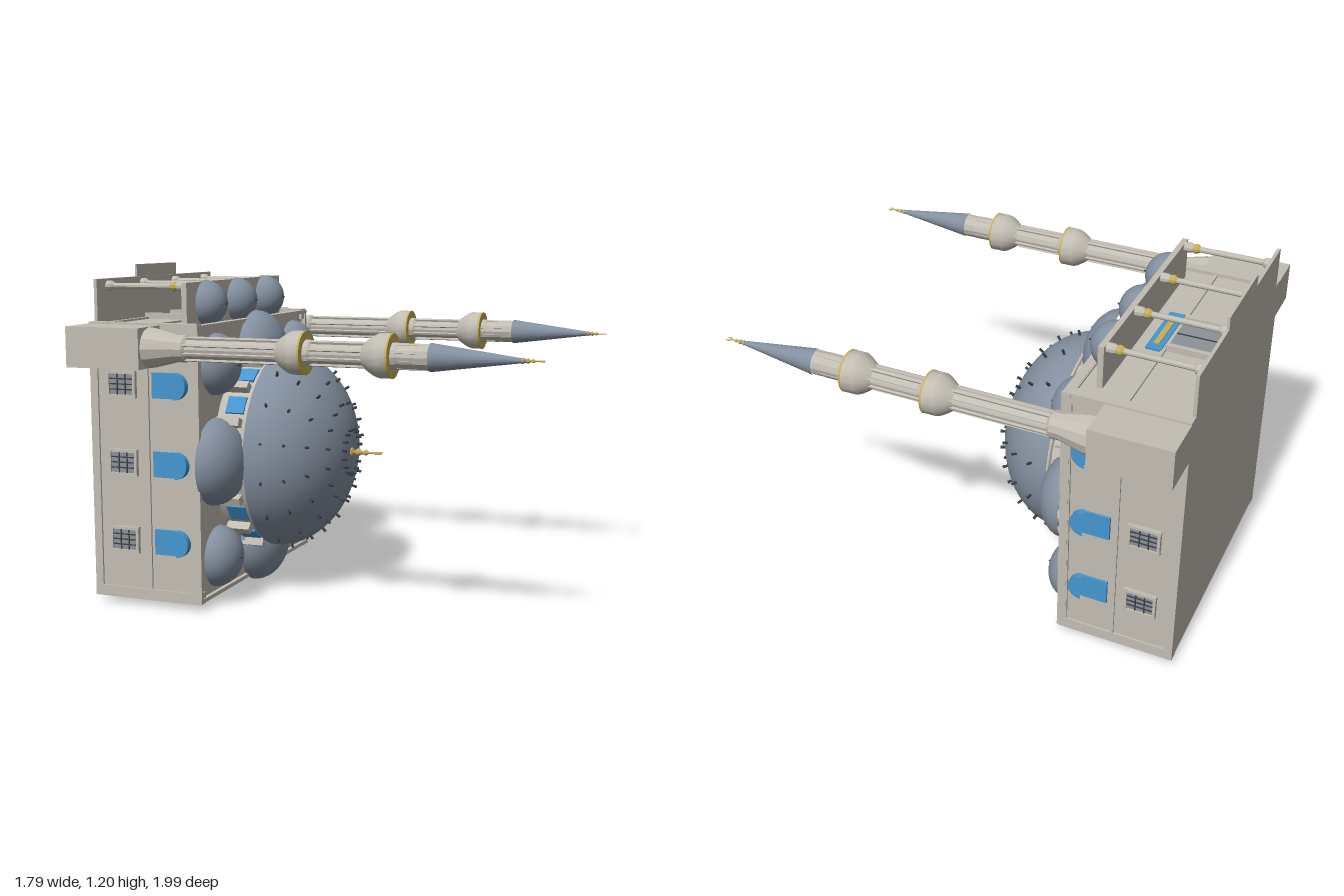
import * as THREE from 'three';
import { toCreasedNormals } from 'three/addons/utils/BufferGeometryUtils.js';

const mat = (name, color) => Object.assign(new THREE.MeshStandardMaterial({ color }), { name });
const stone = mat('stone', 0xc2bdb3);
const lead = mat('domeLead', 0x8490a0);
const gold = mat('gold', 0xc6ae58);
const blue = mat('blueGlass', 0x4596d0);
const dark = mat('darkMetal', 0x3a414a);
const grey = mat('greyShutter', 0x8d9296);

const CX = 0.013, CY = 0.515, HALF = 0.48, BACK = -0.8, ROOF = -0.38;

function add(parent, name, geo, material, x = 0, y = 0, z = 0) {
  const m = new THREE.Mesh(geo, material);
  m.name = name;
  m.position.set(x, y, z);
  parent.add(m);
  return m;
}
const box = (parent, name, material, w, h, d, x, y, z) =>
  add(parent, name, new THREE.BoxGeometry(w, h, d), material, x, y, z);

// turned part whose axis is the building's upright, z
function turned(parent, name, material, profile, segs, x, y, z = 0) {
  const geo = new THREE.LatheGeometry(profile.map(p => new THREE.Vector2(...p)), segs);
  geo.rotateX(Math.PI / 2);
  return add(parent, name, toCreasedNormals(geo, 0.4), material, x, y, z);
}

function dome(parent, name, r, h, x, y, z) {
  const geo = new THREE.SphereGeometry(1, 36, 12, 0, Math.PI * 2, 0, Math.PI / 2);
  geo.rotateX(Math.PI / 2).scale(r, r, h);
  add(parent, name, geo, lead, x, y, z);
  turned(parent, name + 'Tip', dark, [[0.004, 0], [0.004, 0.01], [0, 0.014]], 6, x, y, z + h - 0.003);
}

// wall frame: local x runs along the wall, y is up the building, z points outward
function wall(parent, name, along, outward, x, y) {
  const g = new THREE.Group();
  g.name = name;
  g.applyMatrix4(new THREE.Matrix4().makeBasis(along, new THREE.Vector3(0, 0, 1), outward));
  g.position.set(x, y, 0);
  parent.add(g);
  return g;
}

function rectWindow(parent, u, v, w, h, glass) {
  box(parent, 'windowPane', glass, w, h, 0.008, u, v, 0.004);
  for (const s of [-1, 1]) {
    box(parent, 'windowJamb', stone, 0.01, h + 0.02, 0.018, u + s * (w / 2 + 0.004), v, 0.006);
    box(parent, 'windowSill', stone, w + 0.02, 0.01, 0.018, u, v + s * (h / 2 + 0.004), 0.006);
  }
  for (const k of [-1, 0, 1]) box(parent, 'windowBar', dark, 0.004, h, 0.004, u + k * w / 4, v, 0.009);
  for (const k of [-1, 1]) box(parent, 'windowBar', dark, w, 0.004, 0.004, u, v + k * h / 6, 0.009);
}

function archWindow(parent, u, v, w, h, depth) {
  const s = new THREE.Shape(), r = w / 2;
  s.moveTo(-r, -h / 2);
  s.lineTo(r, -h / 2);
  s.lineTo(r, h / 2 - r);
  s.absarc(0, h / 2 - r, r, 0, Math.PI, false);
  const geo = new THREE.ExtrudeGeometry(s, { depth, bevelEnabled: false, curveSegments: 12 });
  add(parent, 'archWindow', geo, blue, u, v, 0);
}

// crescent finial on a string of beads
function finial(parent, x, y, z, len) {
  const k = len;
  turned(parent, 'finial', gold, [[0.13 * k, 0], [0.13 * k, 0.06 * k], [0.04 * k, 0.12 * k], [0.12 * k, 0.24 * k],
    [0.04 * k, 0.36 * k], [0.09 * k, 0.46 * k], [0.03 * k, 0.56 * k], [0.03 * k, 0.74 * k], [0, 0.78 * k]], 10, x, y, z);
  const arc = new THREE.TorusGeometry(0.12 * k, 0.03 * k, 6, 14, Math.PI * 1.5);
  arc.rotateZ(Math.PI * 0.75).rotateX(Math.PI / 2);
  add(parent, 'crescent', arc, gold, x, y, z + 0.86 * k);
}

function minaret(parent, side) {
  const g = new THREE.Group();
  g.name = side > 0 ? 'leftMinaret' : 'rightMinaret';
  g.position.set(CX + side * 0.56, 0.932, 0);
  parent.add(g);
  box(g, 'minaretBase', stone, 0.155, 0.14, 0.28, 0, 0, -0.66);
  turned(g, 'shaft', stone, [[0.07, -0.53], [0.068, -0.5], [0.046, -0.41], [0.046, -0.38], [0.036, -0.37],
    [0.036, 0.36], [0.042, 0.37], [0.042, 0.48], [0, 0.48]], 12, 0, 0);
  // slim ribs up the shaft
  for (let i = 0; i < 8; i++) {
    const a = (i + 0.5) * Math.PI / 4;
    const rib = box(g, 'shaftRib', stone, 0.008, 0.012, 0.83, 0.037 * Math.cos(a), 0.037 * Math.sin(a), 0.02);
    rib.rotation.z = a + Math.PI / 2;
  }
  for (const z of [0.015, 0.312]) {
    turned(g, 'balcony', stone, [[0.037, -0.06], [0.05, -0.045], [0.066, -0.02], [0.072, -0.005], [0.072, 0.035]], 16, 0, 0, z);
    turned(g, 'balconyFloor', gold, [[0.072, 0.033], [0.073, 0.04], [0.045, 0.04], [0.043, 0.033]], 16, 0, 0, z);
    turned(g, 'balconyCollar', stone, [[0.044, 0.035], [0.044, 0.055], [0.036, 0.065]], 12, 0, 0, z);
  }
  turned(g, 'spire', lead, [[0.046, 0.475], [0.044, 0.49], [0.005, 0.785]], 16, 0, 0);
  finial(g, 0, 0, 0.765, 0.075);
}

export function createModel() {
  const model = new THREE.Group();
  model.name = 'mosque';
  const g = new THREE.Group();
  g.name = 'building';
  g.rotation.y = THREE.MathUtils.degToRad(25);
  model.add(g);

  // main hall with corner piers, string courses and roof parapet
  const depth = ROOF - BACK, midZ = (ROOF + BACK) / 2;
  box(g, 'hall', stone, HALF * 2, 0.96, depth - 0.01, CX, CY, midZ - 0.005);
  for (const sx of [-1, 1]) for (const sy of [-1, 1])
    box(g, 'cornerPier', stone, 0.04, 0.04, depth, CX + sx * 0.468, CY + sy * 0.473, midZ);
  for (const [name, z, h] of [['baseCourse', -0.785, 0.03], ['stringCourse', -0.577, 0.014], ['cornice', -0.4, 0.02]])
    box(g, name, stone, 0.974, 0.974, h, CX, CY, z);
  for (const s of [-1, 1]) {
    box(g, 'parapet', stone, 0.98, 0.014, 0.03, CX, CY + s * 0.481, ROOF - 0.01);
    box(g, 'parapet', stone, 0.014, 0.98, 0.03, CX + s * 0.481, CY, ROOF - 0.01);
  }

  // side walls
  for (const s of [-1, 1]) {
    const w = wall(g, s > 0 ? 'leftWall' : 'rightWall', new THREE.Vector3(0, s, 0), new THREE.Vector3(s, 0, 0), CX + s * HALF, CY);
    for (const u of [-0.278, 0, 0.278]) {
      archWindow(w, u, -0.49, 0.09, 0.13, 0.009);
      const hood = new THREE.CylinderGeometry(0.047, 0.047, 0.025, 16, 1, false, -Math.PI / 2, Math.PI);
      hood.rotateX(-Math.PI / 2);
      add(w, 'windowHood', hood, blue, u, -0.465, 0.012);
      rectWindow(w, u, -0.675, 0.075, 0.095, grey);
    }
  }
  // wall opposite the porch
  const rear = wall(g, 'rearWall', new THREE.Vector3(1, 0, 0), new THREE.Vector3(0, -1, 0), CX, CY - 0.48);
  for (const u of [-0.28, 0, 0.28]) for (const v of [-0.49, -0.68]) rectWindow(rear, u, v, 0.12, 0.09, blue);

  // drum ringed with windows and buttresses
  turned(g, 'drum', stone, [[0.35, -0.39], [0.35, -0.28], [0.362, -0.275], [0.362, -0.265], [0, -0.265]], 32, CX, CY);
  for (let i = 0; i < 16; i++) {
    const spoke = new THREE.Group();
    spoke.name = 'drumBay';
    spoke.position.set(CX, CY, 0);
    spoke.rotation.z = i * Math.PI / 8;
    g.add(spoke);
    box(spoke, 'buttress', stone, 0.04, 0.03, 0.09, 0.36, 0, -0.335);
    const bay = new THREE.Group();
    bay.rotation.z = Math.PI / 16;
    bay.name = 'drumWindow';
    spoke.add(bay);
    box(bay, 'drumGlass', blue, 0.009, 0.065, 0.07, 0.351, 0, -0.325);
  }

  // great dome with rows of lamp studs
  const R = 0.365, H = 0.275, DZ = -0.27;
  dome(g, 'greatDome', R, H, CX, CY, DZ);
  const up = new THREE.Vector3(0, 1, 0);
  for (const deg of [13, 29, 45, 61, 77]) for (let i = 0; i < 16; i++) {
    const t = THREE.MathUtils.degToRad(deg), a = (i + 0.5) * Math.PI / 8;
    const dir = new THREE.Vector3(Math.sin(t) * Math.cos(a), Math.sin(t) * Math.sin(a), Math.cos(t));
    const stud = add(g, 'domeStud', new THREE.CylinderGeometry(0.005, 0.005, 0.035, 6), dark,
      CX + R * dir.x, CY + R * dir.y, DZ + H * dir.z);
    stud.quaternion.setFromUnitVectors(up, new THREE.Vector3(dir.x / R, dir.y / R, dir.z / H).normalize());
  }
  finial(g, CX, CY, DZ + H - 0.005, 0.13);

  // half domes on the sides, small domes on the corners
  for (const s of [-1, 1]) {
    dome(g, 'sideDome', 0.157, 0.115, CX + s * 0.358, CY, ROOF);
    dome(g, 'sideDome', 0.157, 0.115, CX, CY + s * 0.358, ROOF);
    for (const t of [-1, 1]) dome(g, 'cornerDome', 0.11, 0.09, CX + s * 0.345, CY + t * 0.345, ROOF);
  }

  // porch: floor, step, columns, roof and three small domes
  box(g, 'porchFloor', stone, 0.893, 0.17, 0.012, CX, 1.07, -0.794);
  box(g, 'porchStep', stone, 0.31, 0.06, 0.008, CX, 1.17, -0.796);
  box(g, 'porchRoof', stone, 0.806, 0.16, 0.02, CX, 1.065, -0.468);
  for (const k of [-1.5, -0.5, 0.5, 1.5]) {
    const x = CX + k * 0.248;
    turned(g, 'porchColumn', stone, [[0.018, -0.79], [0.018, -0.77], [0.01, -0.76], [0.01, -0.52], [0.018, -0.5], [0.018, -0.475]], 10, x, 1.13);
    turned(g, 'columnCapital', gold, [[0.011, -0.535], [0.017, -0.525], [0.017, -0.515], [0.011, -0.505]], 10, x, 1.13);
  }
  for (const k of [-1, 0, 1]) dome(g, 'porchDome', 0.082, 0.08, CX + k * 0.254, 1.068, -0.46);

  // doorway with a blue and gold panel above
  const porch = wall(g, 'porchWall', new THREE.Vector3(-1, 0, 0), new THREE.Vector3(0, 1, 0), CX, CY + 0.48);
  box(porch, 'doorPanel', blue, 0.25, 0.055, 0.009, 0, -0.545, 0.006);
  box(porch, 'doorPanelInlay', gold, 0.19, 0.02, 0.006, 0, -0.545, 0.011);
  box(porch, 'door', grey, 0.18, 0.2, 0.008, 0, -0.685, 0.004);
  for (const s of [-1, 1]) box(porch, 'doorJamb', stone, 0.018, 0.21, 0.025, s * 0.1, -0.685, 0.01);
  box(porch, 'doorSeam', dark, 0.004, 0.2, 0.004, 0, -0.685, 0.009);

  for (const s of [-1, 1]) minaret(g, s);
  return model;
}
